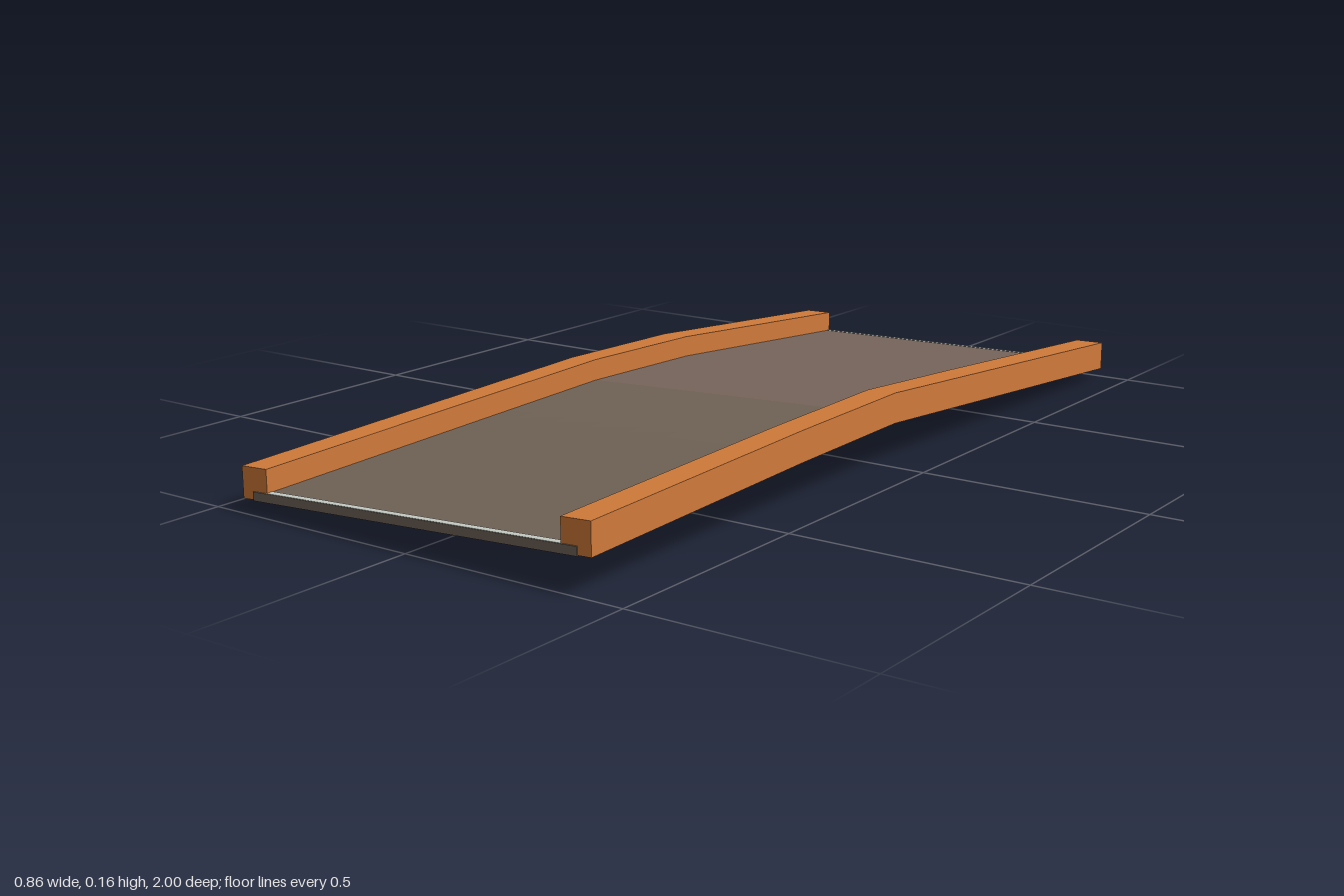
import * as THREE from 'three';

const HALF_WIDTH = 0.43;

// Underside height along each long edge, as [z, y] from back to front
const RIGHT_EDGE = [[-1, 0.002], [-0.35, 0.051], [0, 0.058], [1, 0.03]];
const LEFT_EDGE = [[-1, 0.022], [0, 0.096], [0.35, 0.092], [1, 0.076]];

function heightAt(edge, z) {
  let i = 0;
  while (i < edge.length - 2 && z > edge[i + 1][0]) i++;
  const [z0, y0] = edge[i];
  const [z1, y1] = edge[i + 1];
  return y0 + (y1 - y0) * (z - z0) / (z1 - z0);
}

// The twisted ramp surface: straight across, bent along z
function rampHeight(x, z) {
  const t = (x + HALF_WIDTH) / (2 * HALF_WIDTH);
  return THREE.MathUtils.lerp(heightAt(RIGHT_EDGE, z), heightAt(LEFT_EDGE, z), t);
}

// A box from min to max whose vertices follow the ramp surface
function rampBox(name, material, x0, x1, y0, y1, z0, z1, xSegments = 1) {
  const zSegments = Math.max(1, Math.round((z1 - z0) / 0.05));
  let geometry = new THREE.BoxGeometry(x1 - x0, y1 - y0, z1 - z0, xSegments, 1, zSegments);
  geometry.translate((x0 + x1) / 2, (y0 + y1) / 2, (z0 + z1) / 2);
  const p = geometry.attributes.position;
  for (let i = 0; i < p.count; i++) {
    p.setY(i, p.getY(i) + rampHeight(p.getX(i), p.getZ(i)));
  }
  geometry = geometry.toNonIndexed();
  geometry.computeVertexNormals();
  const mesh = new THREE.Mesh(geometry, material);
  mesh.name = name;
  return mesh;
}

export function createModel() {
  const model = new THREE.Group();
  model.name = 'rampSegment';

  const curbOrange = new THREE.MeshStandardMaterial({ color: 0xd07a3a });
  curbOrange.name = 'curb orange';
  const frontBrown = new THREE.MeshStandardMaterial({ color: 0x706256 });
  frontBrown.name = 'front deck brown';
  const backBrown = new THREE.MeshStandardMaterial({ color: 0x77655b });
  backBrown.name = 'back deck brown';
  const paleGrey = new THREE.MeshStandardMaterial({ color: 0xc6cbc4 });
  paleGrey.name = 'pale end grey';

  // Deck in two halves, reaching under the curbs
  model.add(rampBox('frontDeck', frontBrown, -0.4, 0.4, -0.001, 0.017, 0, 0.998, 8));
  model.add(rampBox('backDeck', backBrown, -0.4, 0.4, -0.001, 0.017, -0.998, 0, 8));

  // Thin pale strips across both ends of the deck
  model.add(rampBox('frontEndStrip', paleGrey, -0.365, 0.365, 0.0165, 0.0178, 0.982, 0.997, 8));
  model.add(rampBox('backEndStrip', paleGrey, -0.365, 0.365, 0.0165, 0.0178, -0.997, -0.985, 8));

  // Curbs along both sides
  model.add(rampBox('leftCurb', curbOrange, 0.363, HALF_WIDTH, 0, 0.065, -0.995, 0.995));
  model.add(rampBox('rightCurb', curbOrange, -HALF_WIDTH, -0.363, 0, 0.065, -0.995, 0.995));

  return model;
}
